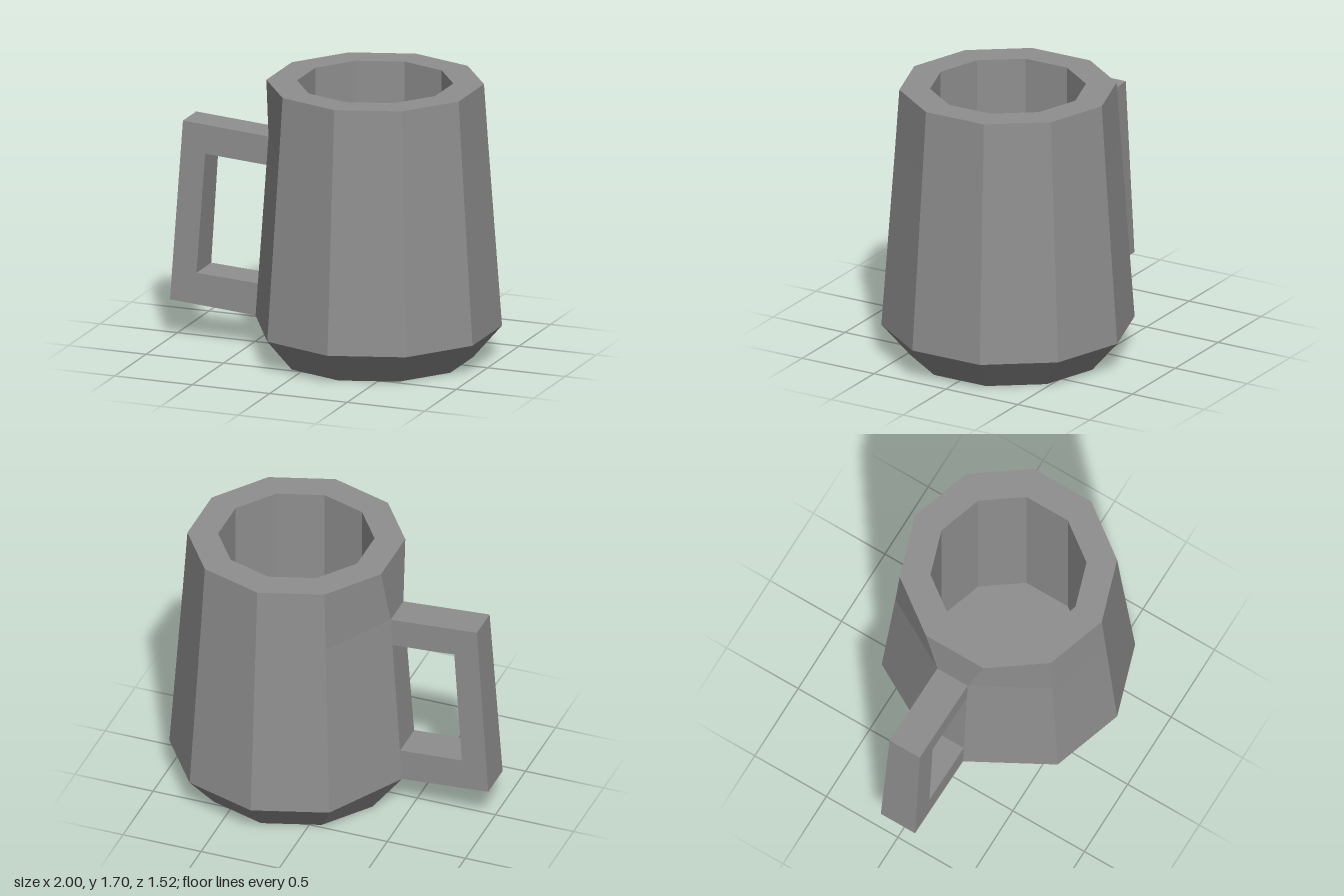
import * as THREE from 'three';

const material = new THREE.MeshStandardMaterial({ color: 0x8f8f8f });
const SIDES = 10;
const CENTRE_X = 0.275;

// Half width of the handle, narrowing slightly towards the top
const handleHalfWidth = (y) => 0.12 - (y - 0.2) * 0.0125;

function addMesh(group, geometry, name) {
  const mesh = new THREE.Mesh(geometry, material);
  mesh.name = name;
  group.add(mesh);
  return mesh;
}

// Gives both triangles of every four-sided panel one shared flat normal
function flattenPanels(geometry) {
  const flat = geometry.toNonIndexed();
  flat.computeVertexNormals();
  const n = flat.attributes.normal;
  const a = new THREE.Vector3(), b = new THREE.Vector3();
  for (let i = 0; i < n.count; i += 6) {
    a.fromBufferAttribute(n, i).add(b.fromBufferAttribute(n, i + 3)).normalize();
    for (let k = 0; k < 6; k++) n.setXYZ(i + k, a.x, a.y, a.z);
  }
  return flat;
}

// Ten-sided cup: base, chamfer, tapered wall, thick rim, inner wall and floor
function cupGeometry() {
  const profile = [
    [0, 0], [0.587, 0], [0.76, 0.2], [0.678, 1.32], [0.652, 1.7],
    [0.468, 1.7], [0.468, 0.2], [0, 0.2],
  ].map(([r, y]) => new THREE.Vector2(r, y));
  const geometry = new THREE.LatheGeometry(profile, SIDES);

  // Pinch the wall panel that carries the handle to the handle's width
  const p = geometry.attributes.position;
  for (let i = 0; i < p.count; i++) {
    const x = p.getX(i), y = p.getY(i), z = p.getZ(i);
    if (x < -0.6 && y > 0.1 && y < 1.5) p.setZ(i, Math.sign(z) * handleHalfWidth(y));
  }
  return flattenPanels(geometry);
}

// Square-cornered C-shaped handle whose ends sit just inside the wall
function handleGeometry() {
  const outline = [
    [-0.445, 0.2], [-0.435, 0.4], [-0.83, 0.423], [-0.778, 1.167],
    [-0.375, 1.14], [-0.365, 1.318], [-0.922, 1.357], [-1, 0.24],
  ].map(([x, y]) => new THREE.Vector2(x, y));
  const geometry = new THREE.ExtrudeGeometry(new THREE.Shape(outline), { depth: 2, bevelEnabled: false });
  geometry.translate(0, 0, -1);
  const p = geometry.attributes.position;
  for (let i = 0; i < p.count; i++) p.setZ(i, p.getZ(i) * handleHalfWidth(p.getY(i)));
  geometry.computeVertexNormals();
  return geometry;
}

export function createModel() {
  const group = new THREE.Group();
  group.name = 'mug';
  addMesh(group, cupGeometry(), 'cup').position.x = CENTRE_X;
  addMesh(group, handleGeometry(), 'handle');
  return group;
}
